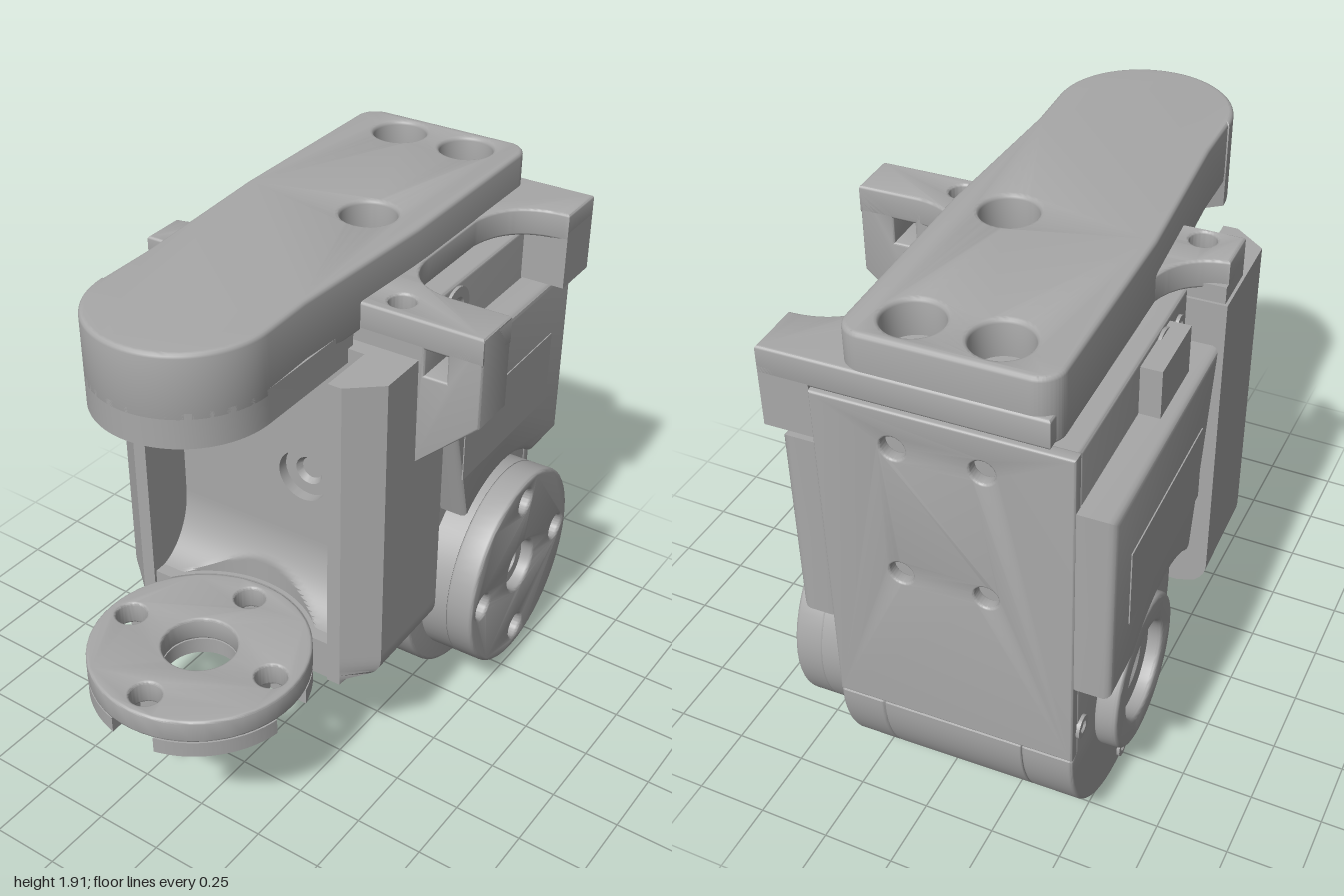
import * as THREE from 'three';
import { toCreasedNormals } from 'three/addons/utils/BufferGeometryUtils.js';

const grey = new THREE.MeshStandardMaterial({ color: 0xa8a8a8 });
grey.name = 'machined grey';
const C = -0.1; // centre plane of the bracket
const AXLE = { z: -0.535, y: 0.465 };

export function createModel() {
  const model = new THREE.Group();
  const body = new THREE.Group();
  body.name = 'jointAssembly';
  body.rotation.y = 0.033;
  model.add(body);

  const add = (name, geo) => {
    const m = new THREE.Mesh(geo, grey);
    m.name = name;
    body.add(m);
    return m;
  };
  const poly = (pts) => new THREE.Shape(pts.map(([x, y]) => new THREE.Vector2(x, y)));
  const hole = (shape, x, y, r) => shape.holes.push(new THREE.Path().absarc(x, y, r, 0, Math.PI * 2, true));
  const disc = (x, y, r) => new THREE.Shape().absarc(x, y, r, 0, Math.PI * 2, false);
  const extrude = (shape, depth, b = 0, steps = 1) => {
    const g = new THREE.ExtrudeGeometry(shape, {
      depth: depth - 2 * b, steps, curveSegments: 28, bevelEnabled: b > 0,
      bevelSize: b, bevelThickness: b, bevelOffset: -b, bevelSegments: 3,
    });
    return g.translate(0, 0, b);
  };
  const smooth = (g) => toCreasedNormals(g, 0.6);
  // plan shapes use (x, -z), side shapes use (-z, y), front shapes use (x, y)
  const plan = (name, s, y0, y1, b) => add(name, smooth(extrude(s, y1 - y0, b).rotateX(-Math.PI / 2).translate(0, y0, 0)));
  const side = (name, s, x0, x1, b) => add(name, smooth(extrude(s, x1 - x0, b).rotateY(Math.PI / 2).translate(x0, 0, 0)));
  const front = (name, s, z0, z1, b) => add(name, smooth(extrude(s, z1 - z0, b).translate(0, 0, z0)));
  const box = (name, x0, x1, y0, y1, z0, z1) =>
    add(name, new THREE.BoxGeometry(x1 - x0, y1 - y0, z1 - z0).translate((x0 + x1) / 2, (y0 + y1) / 2, (z0 + z1) / 2));
  // socket screw whose head points along the given direction
  const screw = (name, pos, dir, r, h) => {
    const pts = [[r, 0], [r, h], [r * 0.55, h], [r * 0.42, h * 0.55], [0, h * 0.55]];
    const g = new THREE.LatheGeometry(pts.map(([x, y]) => new THREE.Vector2(x, y)), 28);
    const m = add(name, toCreasedNormals(g, 0.4));
    m.position.set(...pos);
    m.quaternion.setFromUnitVectors(new THREE.Vector3(0, 1, 0), new THREE.Vector3(...dir));
  };

  // motor case: round-bottomed profile in three slices
  const caseShape = new THREE.Shape();
  caseShape.moveTo(0.07, 1.69);
  caseShape.lineTo(0.07, AXLE.y);
  caseShape.absarc(-AXLE.z, AXLE.y, 0.465, Math.PI, Math.PI * 2, false);
  caseShape.lineTo(0.96, 0.48);
  caseShape.lineTo(0.96, 1.69);
  side('caseLeftSlice', caseShape, 0.16, 0.32, 0.012);
  side('caseMiddleSlice', caseShape, -0.325, 0.16, 0.005);
  side('caseRightSlice', caseShape, -0.5, -0.325, 0.012);

  // back cover with four fixing holes
  const back = poly([[-0.5, 0.47], [0.32, 0.47], [0.32, 1.69], [-0.5, 1.69]]);
  for (const x of [-0.22, 0.06]) for (const y of [1.08, 1.56]) hole(back, x, y, 0.04);
  front('backCover', back, -1, -0.955, 0.008);

  // raised side panels, cut round the horn
  const panel = new THREE.Shape();
  const cut = Math.asin(0.335 / 0.42);
  panel.moveTo(0.08, 0.8);
  panel.absarc(-AXLE.z, AXLE.y, 0.42, Math.PI - cut, cut, true);
  panel.lineTo(0.995, 0.8);
  panel.lineTo(0.995, 1.5);
  panel.lineTo(0.08, 1.5);
  side('leftPanel', panel, 0.3, 0.43, 0.025);
  side('rightPanel', panel, -0.62, -0.48, 0.025);
  const label = poly([[0.22, 1], [0.86, 1], [0.86, 1.28], [0.22, 1.28]]);
  side('leftPanelInset', label, 0.429, 0.434);
  side('rightPanelInset', label, -0.624, -0.619);

  // case screws on both sides and a connector block on the right
  for (const s of [1, -1]) {
    const x = s > 0 ? 0.315 : -0.495;
    for (const [z, y, r] of [[-0.165, 0.68, 0.045], [-0.93, 0.57, 0.04], [-0.535, 0.06, 0.04], [-0.31, 1.6, 0.08], [-0.16, 1.6, 0.038]])
      screw('caseScrew', [x, y, z], [s, 0, 0], r, 0.016);
  }
  box('connector', -0.57, -0.5, 1.5, 1.67, -0.5, -0.24);

  // driven horn and idler boss
  const horn = disc(-AXLE.z, AXLE.y, 0.385);
  hole(horn, -AXLE.z, AXLE.y, 0.1);
  for (let k = 0; k < 4; k++) {
    const a = k * Math.PI / 2;
    hole(horn, -AXLE.z + 0.295 * Math.cos(a), AXLE.y + 0.295 * Math.sin(a), 0.048);
  }
  side('hornFace', horn, 0.43, 0.537, 0.012);
  side('hornBase', disc(-AXLE.z, AXLE.y, 0.385), 0.33, 0.435);
  side('hornCollar', disc(-AXLE.z, AXLE.y, 0.35), 0.3, 0.34);
  screw('hornScrew', [0.43, AXLE.y, AXLE.z], [1, 0, 0], 0.1, 0.06);
  const boss = disc(-AXLE.z, AXLE.y, 0.27);
  hole(boss, -AXLE.z, AXLE.y, 0.17);
  side('idlerBoss', boss, -0.575, -0.495, 0.015);
  screw('idlerScrew', [-0.495, AXLE.y, AXLE.z], [-1, 0, 0], 0.17, 0.03);

  // channel bracket, outer bottom corners rounded
  const half = [[0.53, 0.07], [0.53, -0.3], [0.42, -0.39], [0.37, -0.39], [0.37, -0.1]];
  const channel = poly([...half.map(([d, y]) => [C + d, y]), ...half.slice().reverse().map(([d, y]) => [C - d, y])]);
  const cg = extrude(channel, 1.19, 0, 60);
  const p = cg.attributes.position;
  const R = 0.1;
  for (let i = 0; i < p.count; i++) {
    const d = p.getX(i) - C, h = Math.max(0, R - p.getZ(i));
    const limit = 0.53 - R + Math.sqrt(Math.max(0, R * R - h * h));
    p.setX(i, C + Math.sign(d) * Math.min(Math.abs(d), limit));
  }
  add('channelBracket', smooth(cg.rotateX(-Math.PI / 2).translate(0, 0.46, 0)));
  const floor = poly([[C - 0.375, 0.47], [C + 0.375, 0.47], [C + 0.375, 1.65], [C - 0.375, 1.65]]);
  for (const y of [1.1, 1.56]) {
    hole(floor, 0.035, y, 0.095);
    screw('floorScrew', [0.035, y, 0.09], [0, 0, 1], 0.095, 0.05);
  }
  front('channelFloor', floor, 0.09, 0.18);

  // foot plate and its hollowed fillet
  const DZ = 0.615;
  const foot = new THREE.Shape();
  foot.moveTo(C - 0.38, -0.1);
  foot.lineTo(C - 0.38, -0.38);
  foot.absarc(C, -DZ, 0.384, 2.48, 0.66, true);
  foot.lineTo(C + 0.38, -0.38);
  foot.lineTo(C + 0.38, -0.1);
  plan('footPlate', foot, 0.46, 0.61);
  const fillet = new THREE.PlaneGeometry(0.75, 1, 40, 24);
  const f = fillet.attributes.position;
  for (let i = 0; i < f.count; i++) {
    const x = f.getX(i), a = (0.5 - f.getY(i)) * Math.PI / 2;
    const wall = DZ - Math.sqrt(0.4 * 0.4 - x * x);
    f.setXYZ(i, x + C, 0.85 - 0.245 * Math.sin(a), Math.min(0.37 - 0.19 * Math.cos(a), wall));
  }
  add('footFillet', smooth(fillet));

  // lower disc: drilled top layer over a slotted bottom layer
  const top = disc(C, -DZ, 0.385), low = new THREE.Shape();
  const w = 0.085, gap = Math.asin(w / 0.385);
  for (let k = 0; k < 4; k++) {
    const a = k * Math.PI / 2, n = a + Math.PI / 2, c = Math.cos(n), s = Math.sin(n);
    hole(top, C + 0.295 * Math.cos(a), -DZ + 0.295 * Math.sin(a), 0.055);
    low.absarc(C, -DZ, 0.385, a + gap, n - gap, false);
    low.lineTo(C + 0.23 * c + w * s, -DZ + 0.23 * s - w * c);
    low.lineTo(C + 0.23 * c - w * s, -DZ + 0.23 * s + w * c);
  }
  for (const s of [top, low]) hole(s, C, -DZ, 0.13);
  plan('lowerDiscTop', top, 0.52, 0.61, 0.01);
  plan('lowerDiscSlotted', low, 0.46, 0.52);

  // upper arm with counterbored screws
  const arm = new THREE.Shape();
  arm.moveTo(C - 0.335, 0.2);
  arm.lineTo(C - 0.3, -0.4);
  arm.lineTo(C - 0.3, -0.6);
  arm.absarc(C, -0.6, 0.305, Math.PI, Math.PI * 2, false);
  arm.lineTo(C + 0.3, -0.4);
  arm.lineTo(C + 0.335, 0.2);
  arm.lineTo(C + 0.335, 0.9);
  arm.absarc(C + 0.255, 0.9, 0.08, 0, Math.PI / 2, false);
  arm.absarc(C - 0.255, 0.9, 0.08, Math.PI / 2, Math.PI, false);
  for (const [x, z] of [[-0.22, -0.845], [0.05, -0.845], [0.04, -0.21]]) {
    hole(arm, x, -z, 0.095);
    screw('armScrew', [x, 1.69, z], [0, 1, 0], 0.097, 0.1);
  }
  plan('upperArm', arm, 1.685, 1.915, 0.015);
  const nose = new THREE.Shape();
  nose.moveTo(C - 0.31, -0.15);
  nose.absarc(C, -0.6, 0.305, Math.PI, Math.PI * 2, false);
  nose.lineTo(C + 0.31, -0.15);
  plan('upperArmNose', nose, 1.6, 1.72);

  // shoulder plate blending the arm into its cross bars
  const sh = new THREE.Shape();
  sh.moveTo(-0.62, -0.12);
  sh.lineTo(0.65, -0.12);
  sh.lineTo(0.65, 0.06);
  sh.lineTo(0.43, 0.06);
  sh.quadraticCurveTo(0.25, 0.08, 0.24, 0.26);
  sh.lineTo(0.24, 0.58);
  sh.quadraticCurveTo(0.27, 0.79, 0.49, 0.79);
  sh.lineTo(0.49, 0.985);
  sh.lineTo(-0.42, 0.985);
  sh.lineTo(-0.43, 0.22);
  sh.quadraticCurveTo(-0.46, 0.06, -0.62, 0.04);
  hole(sh, -0.5, -0.06, 0.045);
  hole(sh, 0.32, -0.04, 0.045);
  plan('shoulderPlate', sh, 1.69, 1.79, 0.01);
  box('frontCrossBar', -0.62, 0.44, 1.64, 1.71, -0.06, 0.12);
  box('backEar', 0.325, 0.49, 1.51, 1.72, -0.985, -0.79);

  // side tab with a window
  const tab = poly([[0.42, 1.26], [0.65, 1.47], [0.65, 1.785], [0.42, 1.785]]);
  tab.holes.push(poly([[0.45, 1.6], [0.45, 1.7], [0.53, 1.7], [0.53, 1.6]]));
  front('sideTab', tab, -0.06, 0.12, 0.008);

  return model;
}
